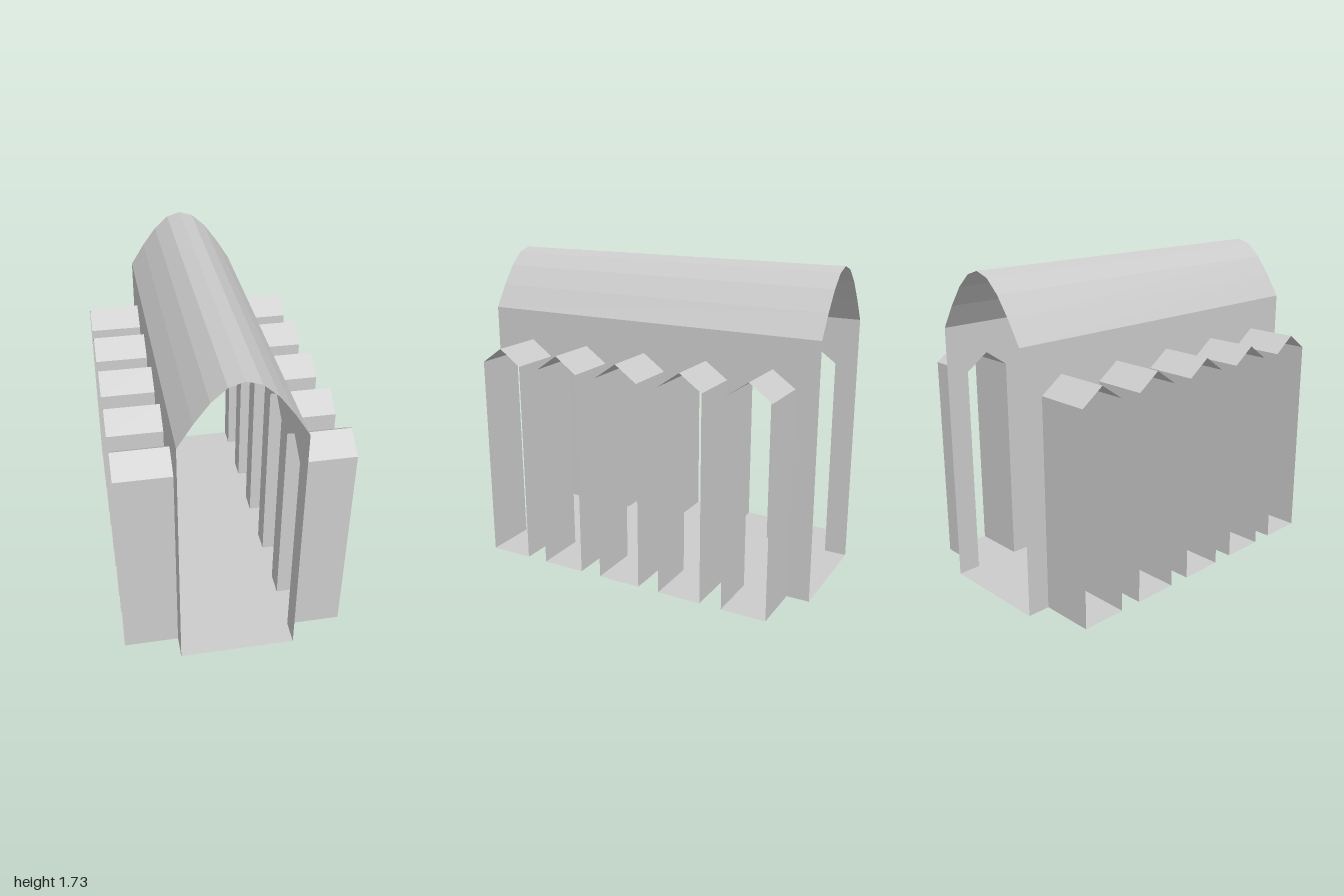
import * as THREE from 'three';

const HALF_W = 0.312;   // half width of the hall
const OUTER = 0.607;    // outer end of the side bays
const SPRING = 1.408;   // height where the vault starts
const RISE = 0.325;     // height of the vault
const BAY = 0.125;      // half width of a bay
const EAVE = 1.15, PEAK = 1.238;
const BAY_Z = [-0.75, -0.375, 0, 0.375, 0.75];

const material = new THREE.MeshStandardMaterial({
  color: 0xcccccc, flatShading: true, side: THREE.DoubleSide,
});

function addMesh(parent, name, geometry) {
  const mesh = new THREE.Mesh(geometry, material);
  mesh.name = name;
  parent.add(mesh);
  return mesh;
}

// Thin sheet: a polyline of [x, y] points swept along z from z0 to z1
function sweep(points, z0, z1) {
  const pos = [];
  for (let i = 0; i < points.length - 1; i++) {
    const [ax, ay] = points[i], [bx, by] = points[i + 1];
    pos.push(ax, ay, z0, ax, ay, z1, bx, by, z1, ax, ay, z0, bx, by, z1, bx, by, z0);
  }
  const g = new THREE.BufferGeometry();
  g.setAttribute('position', new THREE.Float32BufferAttribute(pos, 3));
  g.computeVertexNormals();
  return g;
}

// Hall side wall, drawn in z and y, with a gabled opening at each bay
function wallGeometry() {
  const s = new THREE.Shape();
  s.moveTo(-1, SPRING);
  s.lineTo(-1, 0);
  for (const z of BAY_Z) {
    s.lineTo(z - BAY, 0);
    s.lineTo(z - BAY, EAVE);
    s.lineTo(z, PEAK);
    s.lineTo(z + BAY, EAVE);
    s.lineTo(z + BAY, 0);
  }
  s.lineTo(1, 0);
  s.lineTo(1, SPRING);
  s.closePath();
  return new THREE.ShapeGeometry(s).rotateY(Math.PI / 2);
}

export function createModel() {
  const model = new THREE.Group();
  model.name = 'vaultedHall';

  // Floor and faceted vault, open at both ends
  addMesh(model, 'hallFloor', sweep([[HALF_W, 0], [-HALF_W, 0]], -1, 1));
  const arch = [];
  for (let i = 0; i <= 8; i++) {
    const t = i / 8;
    arch.push([HALF_W * (2 * t - 1), SPRING + RISE * Math.sin(Math.PI * t)]);
  }
  addMesh(model, 'vault', sweep(arch, -1, 1));

  // Each side: wall plus five gabled bays, open at both ends
  const bayProfile = [[-BAY, 0], [-BAY, EAVE], [0, PEAK], [BAY, EAVE], [BAY, 0], [-BAY, 0]];
  for (const [label, side] of [['left', 1], ['right', -1]]) {
    const wall = wallGeometry();
    if (side < 0) wall.rotateY(Math.PI);
    addMesh(model, label + 'Wall', wall).position.x = side * HALF_W;

    const bays = new THREE.Group();
    bays.name = label + 'Bays';
    for (const z of BAY_Z) {
      const bay = addMesh(bays, label + 'Bay', sweep(bayProfile, HALF_W, OUTER));
      bay.rotation.y = side * Math.PI / 2;
      bay.position.z = z;
    }
    model.add(bays);
  }
  return model;
}
